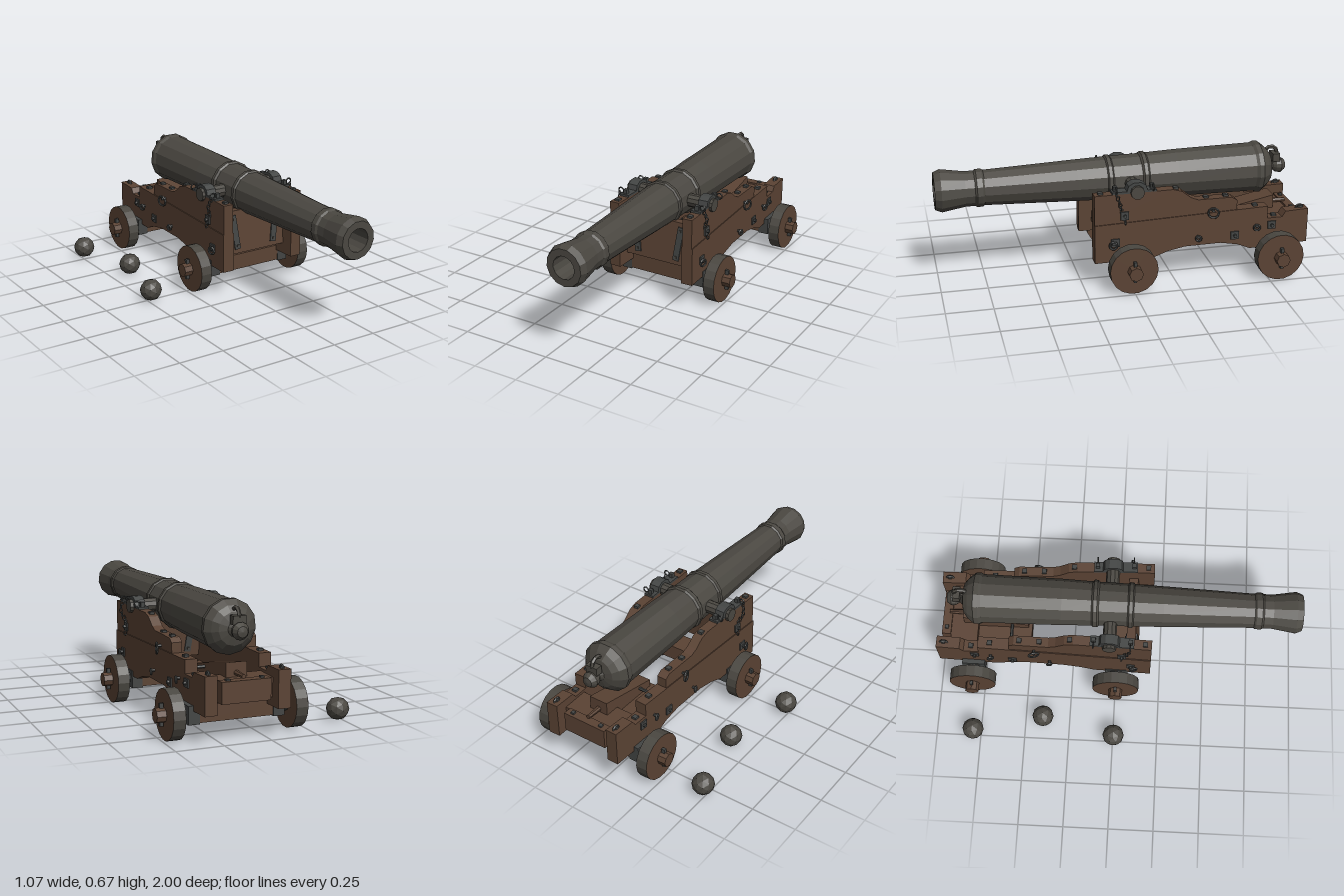
import * as THREE from 'three';

export function createModel() {
  const mat = (name, color) => Object.assign(
    new THREE.MeshStandardMaterial({ color, flatShading: true }), { name });
  const iron = mat('gun iron', 0x4a4741);
  const wood = mat('oak', 0x5b4334);
  const fitting = mat('dark fittings', 0x434544);

  const model = new THREE.Group();
  model.name = 'shipCannon';
  const gun = new THREE.Group();
  gun.name = 'gunAndCarriage';
  gun.position.x = 0.127;
  model.add(gun);

  const add = (parent, name, geo, material, x = 0, y = 0, z = 0) => {
    const m = new THREE.Mesh(geo, material);
    m.name = name;
    m.position.set(x, y, z);
    parent.add(m);
    return m;
  };
  const box = (w, h, d) => new THREE.BoxGeometry(w, h, d);
  // cylinder lying along x
  const rod = (r, len, n = 8) => new THREE.CylinderGeometry(r, r, len, n).rotateZ(Math.PI / 2);
  // side outline given as [z, y] pairs, given a width along x
  const slab = (pts, w) => new THREE.ExtrudeGeometry(
    new THREE.Shape(pts.map(p => new THREE.Vector2(...p))), { depth: w, bevelEnabled: false })
    .rotateY(-Math.PI / 2).translate(w / 2, 0, 0);
  const ring = (r, t) => new THREE.TorusGeometry(r, t, 5, 10);

  // Barrel: outside from breech to muzzle, then back down the bore
  const profile = [
    [0, -0.935], [0.028, -0.93], [0.045, -0.905], [0.04, -0.88], [0.025, -0.86], [0.04, -0.845],
    [0.085, -0.835], [0.115, -0.81], [0.142, -0.775], [0.142, -0.75], [0.134, -0.735],
    [0.128, -0.3], [0.122, -0.14], [0.131, -0.13], [0.131, -0.11], [0.121, -0.1],
    [0.118, 0.055], [0.126, 0.063], [0.126, 0.083], [0.117, 0.09], [0.112, 0.25],
    [0.094, 0.74], [0.101, 0.75], [0.101, 0.78], [0.094, 0.79], [0.094, 0.84],
    [0.114, 0.965], [0.1, 1], [0.062, 1], [0.058, 0.75], [0, 0.75]];
  add(gun, 'barrel', new THREE.LatheGeometry(profile.map(p => new THREE.Vector2(...p)), 13)
    .rotateX(Math.PI / 2), iron, 0, 0.533, 0);
  add(gun, 'trunnions', rod(0.037, 0.53, 10), iron, 0, 0.535, -0.035);
  add(gun, 'breechRing', ring(0.037, 0.011).rotateY(Math.PI / 2), iron, 0, 0.605, -0.85);
  add(gun, 'breechRingLug', box(0.07, 0.045, 0.04), iron, 0, 0.585, -0.875);

  // Transom at the front with two iron straps on each face
  const transom = new THREE.Group();
  transom.name = 'transom';
  transom.position.set(0, 0.332, 0.09);
  transom.rotation.x = -0.08;
  gun.add(transom);
  add(transom, 'transomBoard', box(0.39, 0.245, 0.05), wood);
  for (const s of [-1, 1]) for (const f of [-1, 1]) {
    const strap = add(transom, 'transomStrap', box(0.036, 0.195, 0.008), fitting, s * 0.13, 0, f * 0.028);
    strap.rotation.z = s * -0.13;
    for (const e of [-1, 1])
      add(transom, 'strapBolt', box(0.012, 0.012, 0.008), iron, s * (0.13 + e * 0.01), e * 0.077, f * 0.034);
  }

  // Axles, wheels and linchpins
  for (const z of [0.003, -0.807]) {
    add(gun, 'axleBeam', box(0.41, 0.088, 0.12), wood, 0, 0.134, z);
    add(gun, 'axleArms', rod(0.038, 0.81, 8), wood, 0, 0.133, z);
    for (const s of [-1, 1]) {
      add(gun, 'axleBand', box(0.06, 0.095, 0.128), fitting, s * 0.227, 0.132, z);
      add(gun, 'wheelWasher', rod(0.045, 0.03, 8), fitting, s * 0.275, 0.133, z);
      add(gun, 'wheel', rod(0.13, 0.064, 18), [iron, wood, wood], s * 0.325, 0.133, z);
      add(gun, 'linchpin', box(0.02, 0.115, 0.016), fitting, s * 0.372, 0.135, z);
    }
  }

  // Bed at the rear, quoin and tie rod
  add(gun, 'rearCrossBeam', box(0.36, 0.1, 0.15), wood, 0, 0.25, -0.855);
  add(gun, 'bed', box(0.26, 0.05, 0.5), wood, 0, 0.235, -0.73);
  add(gun, 'rearSill', box(0.26, 0.11, 0.05), wood, 0, 0.255, -0.955);
  add(gun, 'quoin', slab([[-0.86, 0.26], [-0.5, 0.26], [-0.5, 0.3], [-0.86, 0.375]], 0.11), wood);
  add(gun, 'quoinHandle', new THREE.CylinderGeometry(0.015, 0.011, 0.09, 7)
    .rotateX(Math.PI / 2), wood, 0, 0.32, -0.9);
  add(gun, 'tieRod', rod(0.009, 0.42, 6), fitting, 0, 0.3, -0.59);
  for (const s of [-1, 1])
    add(gun, 'bedBolt', box(0.02, 0.01, 0.02), fitting, s * 0.09, 0.314, -0.955);

  const lowerPlank = [
    [0.195, 0.15], [0.195, 0.365], [-0.765, 0.385], [-0.765, 0.315], [-0.85, 0.315], [-0.87, 0.345],
    [-1, 0.35], [-1, 0.155], [-0.67, 0.148], [-0.6, 0.178], [-0.5, 0.198], [-0.3, 0.198],
    [-0.2, 0.18], [-0.12, 0.15]];
  const upperPlank = [
    [0.195, 0.365], [0.195, 0.53], [-0.23, 0.53], [-0.28, 0.515], [-0.33, 0.475], [-0.37, 0.458],
    [-0.56, 0.455], [-0.59, 0.435], [-0.59, 0.38]];

  // Side cheeks, closing in slightly towards the rear, with all their ironwork
  for (const s of [-1, 1]) {
    const cheek = new THREE.Group();
    cheek.name = s > 0 ? 'leftCheek' : 'rightCheek';
    cheek.position.x = s * 0.22;
    cheek.rotation.y = s * 0.027;
    gun.add(cheek);
    add(cheek, 'lowerPlank', slab(lowerPlank, 0.066), wood);
    add(cheek, 'upperPlank', slab(upperPlank, 0.056), wood);

    // Cap square over the trunnion
    add(cheek, 'capSquare', box(0.058, 0.012, 0.24), fitting, 0, 0.536, -0.02);
    add(cheek, 'capArch', slab([[0.025, 0.53], [0.012, 0.57], [-0.015, 0.586], [-0.055, 0.586],
      [-0.082, 0.57], [-0.095, 0.53]], 0.056), fitting);
    add(cheek, 'trunnionEnd', rod(0.034, 0.014, 10), iron, s * 0.036, 0.538, -0.035);
    for (const z of [0.08, -0.12]) {
      add(cheek, 'capBolt', box(0.022, 0.03, 0.022), fitting, 0, 0.552, z);
      add(cheek, 'capKeyRing', ring(0.016, 0.004), fitting, s * 0.032, 0.555, z);
    }

    // Keeper chain
    for (let i = 0; i < 9; i++) {
      const link = add(cheek, 'chainLink', ring(0.012, 0.0035).scale(0.7, 1, 1), fitting,
        s * (0.04 + 0.012 * Math.sin(i * 0.8)), 0.535 - i * 0.02, 0.08 - i * 0.006);
      link.rotation.y = i % 2 ? Math.PI / 2 : 0;
    }

    // Bolt plates on the outer face
    for (const [z, y] of [[0.085, 0.26], [0.035, 0.41], [-0.58, 0.235], [-0.79, 0.275]]) {
      add(cheek, 'boltPlate', box(0.008, 0.045, 0.045), fitting, s * 0.036, y, z);
      add(cheek, 'boltHead', rod(0.01, 0.02, 6), fitting, s * 0.042, y, z);
    }
    // Ring bolts on the outer face
    for (const [z, y, r] of [[-0.45, 0.395, 0.028], [-0.37, 0.25, 0.014], [-0.7, 0.28, 0.016], [0.1, 0.26, 0.02]]) {
      add(cheek, 'eyeBolt', rod(0.008, 0.03, 6), fitting, s * 0.04, y, z);
      add(cheek, 'boltRing', ring(r, 0.006).rotateY(Math.PI / 2 - s * 0.3), fitting, s * 0.052, y - r * 0.4, z);
    }
    // Bolt heads along the top edges
    for (const [z, y] of [[0.16, 0.53], [-0.25, 0.525], [-0.42, 0.457], [-0.53, 0.456], [-0.7, 0.385], [-0.81, 0.316]])
      add(cheek, 'topBolt', box(0.026, 0.014, 0.026), fitting, 0, y + 0.004, z);
    add(cheek, 'tailRing', ring(0.02, 0.006).rotateY(Math.PI / 2), fitting, 0, 0.342, -0.96).position.y = 0.345;
    add(cheek, 'tailEye', box(0.02, 0.012, 0.02), fitting, 0, 0.353, -0.96);
  }

  // Round shot lying beside the gun
  for (const [x, z] of [[-0.477, -0.79], [-0.384, -0.4], [-0.477, 0.003]])
    add(model, 'roundShot', new THREE.IcosahedronGeometry(0.06, 1), iron, x, 0.064, z);

  return model;
}
